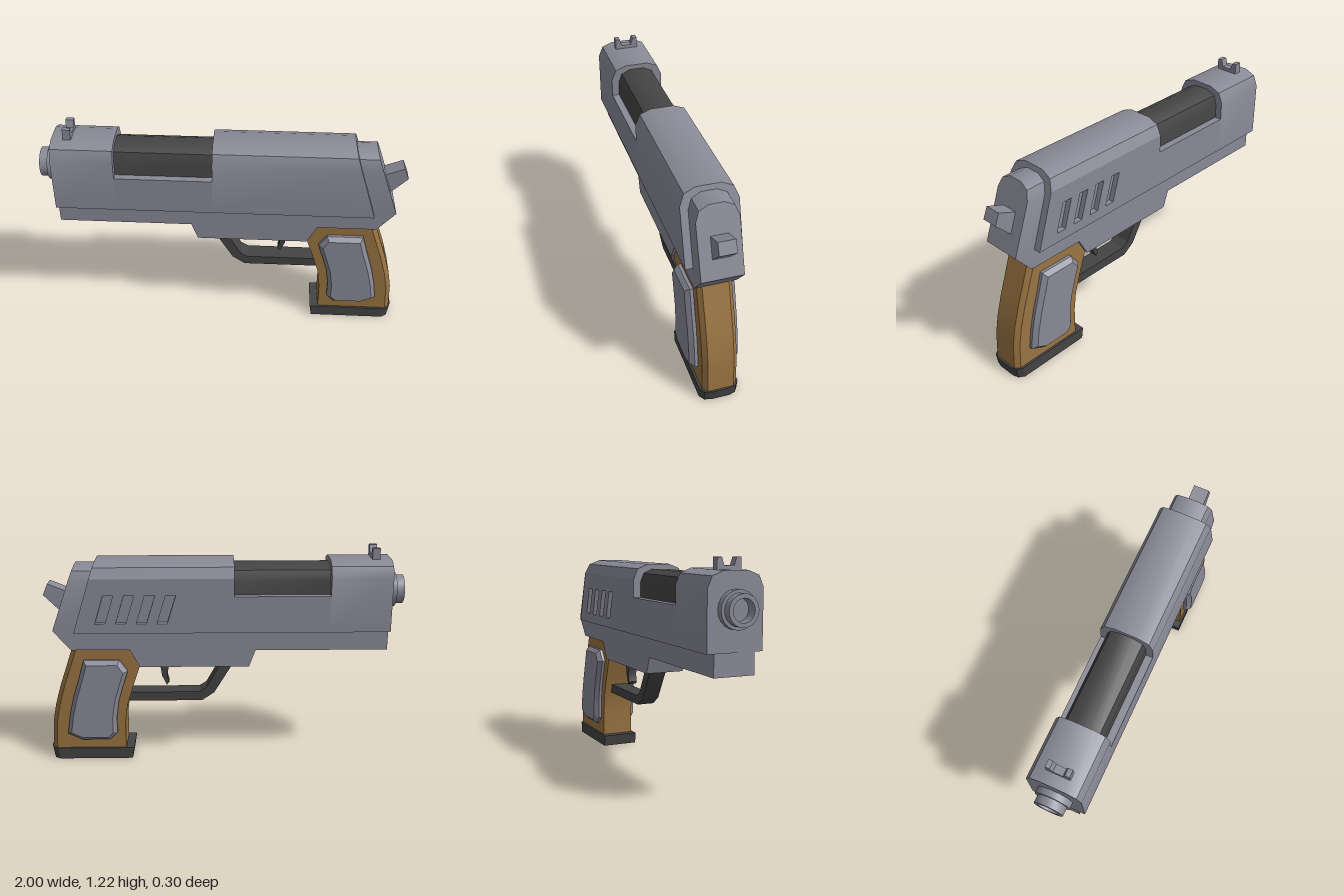
import * as THREE from 'three';
import { toCreasedNormals } from 'three/addons/utils/BufferGeometryUtils.js';

const steel = new THREE.MeshStandardMaterial({ color: 0x8a8a98 });
const dark = new THREE.MeshStandardMaterial({ color: 0x444444 });
const wood = new THREE.MeshStandardMaterial({ color: 0x9a7442 });

const toShape = (pts) => new THREE.Shape(pts.map(([x, y]) => new THREE.Vector2(x, y)));

// Half outline (z, y) listed bottom to top, mirrored into a closed symmetric outline
const mirror = (half) => [...half, ...half.slice().reverse().map(([z, y]) => [-z, y])];

// Side outline (x, y) extruded across the width, centred on z = 0
function plate(pts, halfWidth) {
  const g = new THREE.ExtrudeGeometry(toShape(pts), { depth: halfWidth * 2, bevelEnabled: false });
  return g.translate(0, 0, -halfWidth);
}

// Cross-section (-z, y) swept along x; the far end may slant with height
function sweepX(section, x0, endX) {
  const g = new THREE.ExtrudeGeometry(toShape(section), { depth: 1, bevelEnabled: false });
  g.rotateY(Math.PI / 2);
  const p = g.attributes.position;
  for (let i = 0; i < p.count; i++) {
    p.setX(i, THREE.MathUtils.lerp(x0, endX(p.getY(i)), p.getX(i)));
  }
  return g;
}

export function createModel() {
  const model = new THREE.Group();
  const add = (name, geometry, material) => {
    const mesh = new THREE.Mesh(toCreasedNormals(geometry, 0.45), material);
    mesh.name = name;
    model.add(mesh);
    return mesh;
  };

  // Slide: front block, low walls beside the open port, rear block
  const slideHalf = [[0.15, 0.775], [0.15, 1.08], [0.125, 1.138], [0.065, 1.162]];
  const slideEnd = (y) => 0.82 - (y - 0.775) * 0.32;
  add('slideFront', sweepX(mirror(slideHalf), -0.92, () => -0.585), steel);
  add('slidePortWalls', sweepX(mirror([[0.15, 0.775], [0.15, 0.98]]), -0.585, () => -0.06), steel);
  const rearSection = [[0.12, 0.775], [0.12, 1.08], ...mirror(slideHalf).slice(1)];
  add('slideRear', sweepX(rearSection, -0.06, slideEnd), steel);

  // Side wall with slanted grip slots cut through it
  const wall = toShape([[-0.06, 0.775], [slideEnd(0.775), 0.775], [slideEnd(1.08), 1.08], [-0.06, 1.08]]);
  for (let i = 0; i < 4; i++) {
    const x = 0.645 - i * 0.113;
    wall.holes.push(new THREE.Path([[x, 0.83], [x - 0.05, 0.99], [x + 0.005, 0.99], [x + 0.055, 0.83]]
      .map(([a, b]) => new THREE.Vector2(a, b))));
  }
  const wallGeo = new THREE.ExtrudeGeometry(wall, { depth: 0.03, bevelEnabled: false });
  add('slottedSlideWall', wallGeo.translate(0, 0, -0.15), steel);

  // Barrel seen through the port, and the hollow muzzle
  const innerHalf = [[0.11, 0.78], [0.11, 1.06], [0.09, 1.112], [0.04, 1.135]];
  add('barrel', sweepX(mirror(innerHalf), -0.6, () => -0.05), dark);
  const muzzle = new THREE.LatheGeometry([
    [0, 0.02], [0.058, 0.02], [0.058, 0.08], [0.08, 0.08], [0.08, 0.035], [0.096, 0.035], [0.096, -0.01],
  ].reverse().map(([r, h]) => new THREE.Vector2(r, h)), 20);
  muzzle.rotateZ(Math.PI / 2).translate(-0.92, 0.98, 0);
  add('muzzle', muzzle, steel).material = Object.assign(steel.clone(), { side: THREE.DoubleSide });

  // Frame under the slide and the rounded rear body
  add('frame', plate([[-0.915, 0.66], [-0.18, 0.66], [-0.145, 0.565], [0.465, 0.565], [0.52, 0.667],
    [0.845, 0.667], [0.94, 0.78], [-0.915, 0.78]], 0.11), steel);
  add('rearBody', sweepX(mirror(innerHalf), 0.55, (y) => 0.94 - (y - 0.78) * 0.36), steel);

  // Notched sight
  const sight = sweepX([[-0.065, 1.15], [0.065, 1.15], [0.065, 1.222], [0.04, 1.222], [0.027, 1.182],
    [-0.027, 1.182], [-0.04, 1.222], [-0.065, 1.222]], -0.855, () => -0.813);
  add('sight', sight, steel);

  // Hammer
  add('hammer', plate([[0.84, 0.98], [0.885, 0.86], [0.99, 0.967], [0.963, 1.03]], 0.045), steel);

  // Trigger and its guard
  add('trigger', plate([[0.295, 0.58], [0.31, 0.53], [0.318, 0.48], [0.308, 0.44], [0.322, 0.424],
    [0.348, 0.48], [0.355, 0.53], [0.345, 0.58]], 0.025), dark);
  add('triggerGuard', plate([[-0.065, 0.575], [0.05, 0.385], [0.12, 0.337], [0.56, 0.337], [0.56, 0.39],
    [0.135, 0.39], [0.095, 0.415], [0.005, 0.575]], 0.05), dark);

  // Grip lofted through rows of [height, front x, rear x]
  const rows = [[0.05, 0.562, 0.985], [0.22, 0.56, 0.976], [0.33, 0.545, 0.955], [0.45, 0.507, 0.92],
    [0.57, 0.465, 0.878], [0.667, 0.52, 0.845]];
  const pos = [];
  const rings = rows.map(([y, f, r]) => [[f, y, 0.093], [r - 0.025, y, 0.093], [r, y, 0.07],
    [r, y, -0.07], [r - 0.025, y, -0.093], [f, y, -0.093]]);
  const tri = (...corners) => corners.forEach((c) => pos.push(...c));
  for (let i = 0; i + 1 < rings.length; i++) {
    for (let j = 0; j < 6; j++) {
      const k = (j + 1) % 6, a = rings[i], b = rings[i + 1];
      tri(a[j], a[k], b[k]);
      tri(a[j], b[k], b[j]);
    }
  }
  const [bottom, top] = [rings[0], rings[rings.length - 1]];
  for (let j = 1; j < 5; j++) {
    tri(top[0], top[j], top[j + 1]);
    tri(bottom[0], bottom[j + 1], bottom[j]);
  }
  const grip = new THREE.BufferGeometry();
  grip.setAttribute('position', new THREE.Float32BufferAttribute(pos, 3));
  add('grip', grip, wood);

  // Bevelled grip panels, one on each side
  const panel = toShape([[0.65, 0.123], [0.81, 0.123], [0.89, 0.163], [0.872, 0.28], [0.845, 0.39],
    [0.81, 0.5], [0.78, 0.605], [0.58, 0.605], [0.535, 0.54], [0.565, 0.45], [0.592, 0.36],
    [0.607, 0.26], [0.607, 0.165]]);
  const panelGeo = new THREE.ExtrudeGeometry(panel, {
    depth: 0.22, bevelSize: 0.022, bevelOffset: -0.022, bevelThickness: 0.024, bevelSegments: 1,
  });
  add('gripPanels', panelGeo.translate(0, 0, -0.11), steel);

  // Magazine base with clipped rear corners and raked ends
  const base = new THREE.ExtrudeGeometry(toShape([[0.515, -0.105], [0.955, -0.105], [0.985, -0.085],
    [0.995, -0.05], [0.995, 0.05], [0.985, 0.085], [0.955, 0.105], [0.515, 0.105]]),
  { depth: 0.065, bevelEnabled: false });
  base.rotateX(-Math.PI / 2);
  const bp = base.attributes.position;
  for (let i = 0; i < bp.count; i++) {
    if (bp.getY(i) < 0.01) bp.setX(i, bp.getX(i) + (bp.getX(i) < 0.6 ? 0.01 : -0.01));
  }
  add('magazineBase', base, dark);

  return model;
}
